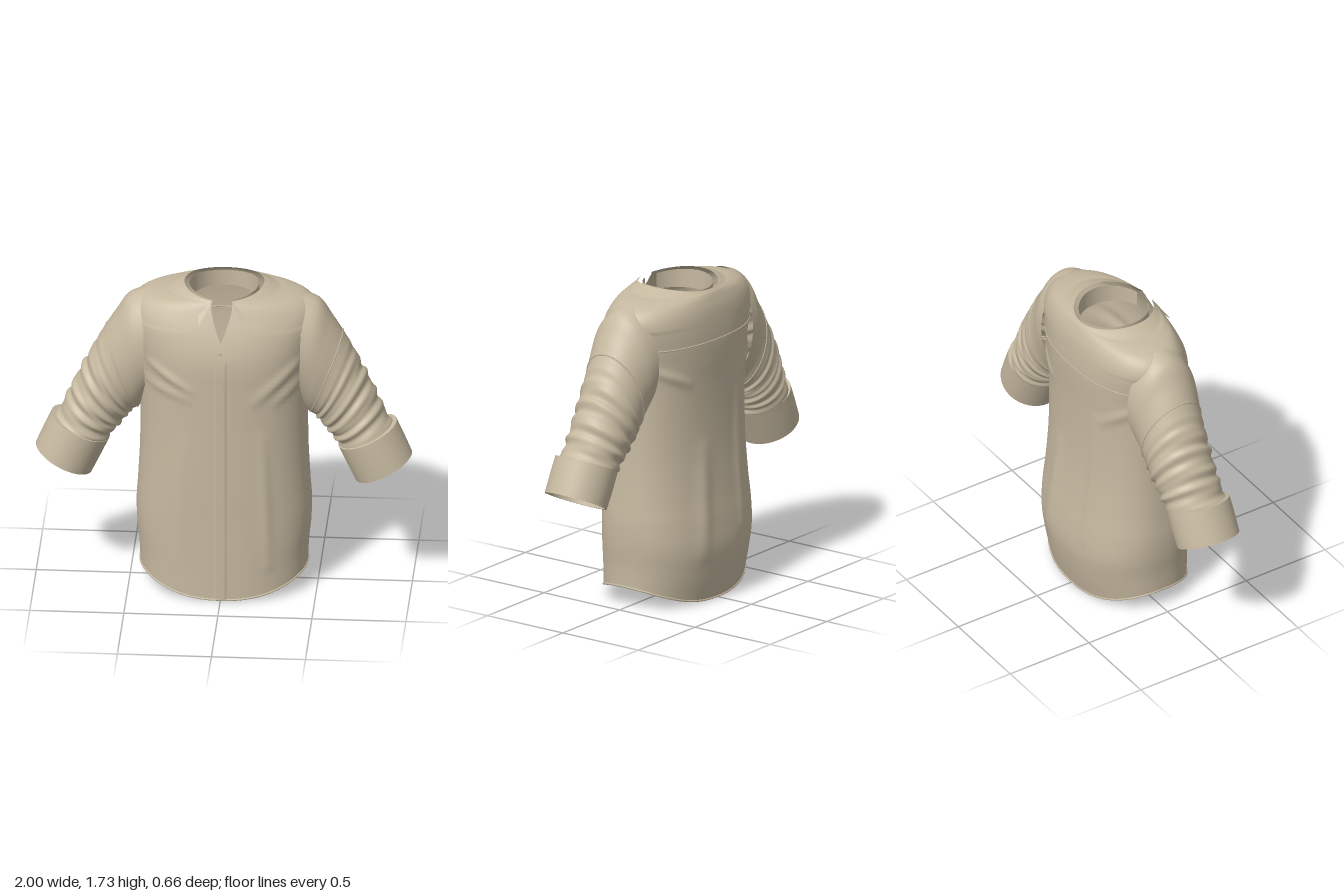
import * as THREE from 'three';
import { toCreasedNormals } from 'three/addons/utils/BufferGeometryUtils.js';

const cloth = new THREE.MeshStandardMaterial({ color: 0xc6b9a0, side: THREE.DoubleSide });
cloth.name = 'beige cloth';

// Torso sections: height, half width, front z, back z, squareness
const TORSO = [
  [0.01, 0.445, 0.315, -0.28, 2.3], [0.15, 0.45, 0.315, -0.312, 2.3], [0.3, 0.462, 0.315, -0.332, 2.3],
  [0.45, 0.465, 0.315, -0.322, 2.3], [0.6, 0.457, 0.317, -0.303, 2.3], [0.8, 0.447, 0.318, -0.285, 2.3],
  [1.0, 0.445, 0.318, -0.278, 2.3], [1.2, 0.45, 0.32, -0.28, 2.3], [1.35, 0.46, 0.32, -0.288, 2.3],
  [1.45, 0.48, 0.306, -0.29, 2.3], [1.55, 0.5, 0.275, -0.283, 2.3], [1.62, 0.49, 0.245, -0.272, 2.2],
  [1.67, 0.44, 0.222, -0.255, 2.1], [1.695, 0.35, 0.21, -0.243, 2], [1.703, 0.28, 0.205, -0.235, 2],
  [1.712, 0.212, 0.2, -0.226, 2],
];
const TOP = TORSO.length - 1;

// Sleeve sections: outer x, y, inner x, y, centre z, half depth
const SLEEVE = [
  [0.42, 1.685, 0.41, 1.08, 0, 0.2], [0.51, 1.645, 0.42, 1.05, 0, 0.195], [0.575, 1.55, 0.44, 1.02, 0, 0.185],
  [0.63, 1.46, 0.455, 1.0, -0.005, 0.178], [0.685, 1.36, 0.48, 0.985, -0.008, 0.175],
  [0.74, 1.25, 0.51, 0.95, -0.008, 0.172], [0.795, 1.14, 0.55, 0.9, -0.003, 0.166],
  [0.845, 1.03, 0.585, 0.86, 0.005, 0.163], [0.895, 0.93, 0.625, 0.8, 0.015, 0.16],
];
const CUFF = [
  [0.885, 0.945, 0.625, 0.825, 0.018, 0.15], [0.918, 0.957, 0.608, 0.815, 0.02, 0.172],
  [0.96, 0.865, 0.652, 0.722, 0.023, 0.174], [1.0, 0.772, 0.7, 0.623, 0.027, 0.172],
  [0.988, 0.768, 0.712, 0.629, 0.027, 0.16], [0.885, 0.945, 0.63, 0.825, 0.02, 0.15],
];

// Soft creases on the torso: x1, y1, x2, y2, front or back, height, width
const FOLDS = [
  [0.42, 1.38, 0.18, 1.17, 1, 0.014, 0.025], [0.42, 1.26, 0.28, 1.15, 1, 0.01, 0.02],
  [-0.38, 1.35, -0.16, 1.23, 1, 0.013, 0.022], [-0.4, 1.24, -0.17, 1.18, 1, 0.01, 0.02],
  [0.22, 0.95, 0.25, 0.2, 1, 0.01, 0.03], [-0.2, 0.9, -0.22, 0.2, 1, 0.005, 0.04],
  [0.42, 1.34, 0.22, 1.24, -1, 0.012, 0.022], [-0.42, 1.34, -0.24, 1.2, -1, 0.012, 0.022],
  [0.12, 0.85, 0.17, 0.3, -1, 0.014, 0.05], [-0.2, 1.2, -0.17, 0.4, -1, 0.012, 0.035],
];

// Smooth blend through a table of sections
function sample(rows, t) {
  const n = rows.length - 1, i = Math.min(Math.floor(t), n - 1), f = t - i;
  const [a, b, c, d] = [i - 1, i, i + 1, i + 2].map(k => rows[THREE.MathUtils.clamp(k, 0, n)]);
  return b.map((v, k) => v + 0.5 * f * (c[k] - a[k] + f * (2 * a[k] - 5 * v + 4 * c[k] - d[k]
    + f * (3 * (v - c[k]) + d[k] - a[k]))));
}

// Surface from a rule point(u, v), with u optionally wrapping round
function surface(point, nu, nv, closed) {
  const pos = [], idx = [], cols = closed ? nu : nu + 1;
  for (let j = 0; j <= nv; j++)
    for (let i = 0; i < cols; i++) pos.push(...point(i / nu, j / nv));
  for (let j = 0; j < nv; j++)
    for (let i = 0; i < nu; i++) {
      const a = j * cols + i, b = j * cols + (i + 1) % cols;
      idx.push(a, b, a + cols, b, b + cols, a + cols);
    }
  const g = new THREE.BufferGeometry();
  g.setAttribute('position', new THREE.Float32BufferAttribute(pos, 3));
  g.setIndex(idx);
  g.computeVertexNormals();
  return g;
}

function creases(x, y, facing) {
  let sum = 0;
  for (const [x1, y1, x2, y2, side, h, w] of FOLDS) {
    if (side * facing <= 0) continue;
    const dx = x2 - x1, dy = y2 - y1;
    const k = THREE.MathUtils.clamp(((x - x1) * dx + (y - y1) * dy) / (dx * dx + dy * dy), 0, 1);
    const d = Math.hypot(x - x1 - k * dx, y - y1 - k * dy);
    sum += h * Math.exp(-d * d / (w * w)) * Math.sin(Math.PI * (0.15 + 0.7 * k));
  }
  return sum;
}

// Torso point: angle is measured from the front towards +x, t runs up the sections
function torsoPoint(angle, t, lift = 0) {
  const s = Math.sin(angle), c = Math.cos(angle);
  const fromFront = Math.abs(Math.atan2(s, c));
  const end = 9.5 + (TOP - 9.5) * Math.min(1, fromFront / 0.25); // V opening at the neck
  if (t > 8) t = 8 + (t - 8) * (end - 8) / (TOP - 8);
  let [y, a, zf, zb, n] = sample(TORSO, t);
  const x = a * Math.sign(s) * Math.abs(s) ** (2 / n);
  const mid = t > 10 ? -0.012 : 0;
  const z = mid + ((c > 0 ? zf : -zb) + (c > 0 ? -mid : mid)) * Math.sign(c) * Math.abs(c) ** (2 / n);
  y += 0.11 * s * s * Math.max(0, 1 - y / 0.6);              // curved shirt tails
  y += 0.022 * s * s * THREE.MathUtils.smoothstep(t, 13.5, TOP); // neck rises at the sides
  const out = lift + creases(x, y, c);
  return [x + s * out, y, z + c * out];
}

// Sleeve or cuff point round a section
function armPoint(row, phi, side, swell = 0) {
  const [ux, uy, lx, ly, zc, zh] = row, k = Math.cos(phi) * (1 + swell);
  return [side * ((ux + lx) / 2 + k * (ux - lx) / 2), (uy + ly) / 2 + k * (uy - ly) / 2,
    zc + side * Math.sin(phi) * zh * (1 + swell)];
}

// Gathered folds, strongest just above the cuff
function gather(t, phi) {
  const strength = THREE.MathUtils.smoothstep(t, 3.2, 5) * 0.035;
  return strength * (Math.sin(t * 7.5 + 0.9 * Math.sin(phi * 2)) + 0.5 * Math.sin(t * 12 + Math.cos(phi) * 2));
}

export function createModel() {
  const shirt = new THREE.Group();
  shirt.name = 'shirt';
  const add = (name, geometry, parent = shirt) => {
    const m = new THREE.Mesh(geometry, cloth);
    m.name = name;
    parent.add(m);
    return m;
  };
  const seam = (name, points, r, closed, parent) => add(name, new THREE.TubeGeometry(
    new THREE.CatmullRomCurve3(points.map(p => new THREE.Vector3(...p)), closed), 120, r, 6, closed), parent);
  const steps = (n, f) => Array.from({ length: n }, (_, i) => f(i / n));

  // Torso, hem, button strip and back yoke
  add('torso', surface((u, v) => torsoPoint(u * Math.PI * 2, v * TOP), 180, 120, true));
  seam('hem', steps(48, k => torsoPoint(k * Math.PI * 2, 0.03)), 0.006, true);
  add('buttonStrip', surface((u, v) => torsoPoint((u - 0.5) * 0.1, v * 9.3,
    u === 0 || u === 1 ? 0 : 0.005), 8, 60, false));
  seam('yokeSeam', steps(40, k => torsoPoint(Math.PI * (0.62 + 0.78 * k), 9)), 0.004, false);

  // Buttons down the front
  for (let i = 0; i < 7; i++) {
    const y = 0.14 + i * 0.22;
    let t = 0;
    while (t < 9.3 && torsoPoint(0, t)[1] < y) t += 0.02;
    const b = add('button', new THREE.CylinderGeometry(0.01, 0.011, 0.008, 14));
    b.rotation.x = Math.PI / 2;
    b.position.set(0, y, torsoPoint(0, t)[2] + 0.006);
  }

  // Inner collar band, open at the front
  add('collarBand', surface((u, v) => {
    const a = 0.28 + u * (Math.PI * 2 - 0.56);
    return [0.185 * Math.sin(a), 1.62 + v * (0.088 + 0.018 * Math.sin(a) ** 2), -0.012 + 0.188 * Math.cos(a)];
  }, 72, 3, false));

  for (const side of [1, -1]) {
    // Collar tips
    const tip = new THREE.BufferGeometry();
    const corners = [[0.05, 1.712, 0.198], [0.118, 1.598, 0.272], [0.14, 1.715, 0.158]];
    if (side < 0) corners.reverse();
    tip.setAttribute('position', new THREE.Float32BufferAttribute(
      corners.flatMap(([x, y, z]) => [side * x, y, z]), 3));
    tip.computeVertexNormals();
    add('collarTip', tip);

    // Sleeve with shoulder seam and turned-up cuff
    const arm = new THREE.Group();
    arm.name = side > 0 ? 'leftSleeve' : 'rightSleeve';
    shirt.add(arm);
    const last = SLEEVE.length - 1;
    add('sleeve', surface((u, v) => {
      const phi = u * Math.PI * 2, t = v * last;
      return armPoint(sample(SLEEVE, t), phi, side, gather(t, phi));
    }, 64, 96, true), arm);
    seam('shoulderSeam', steps(32, k => armPoint(sample(SLEEVE, 3), k * Math.PI * 2, side)), 0.004, true, arm);
    const cuff = surface((u, v) => armPoint(CUFF[Math.round(v * (CUFF.length - 1))], u * Math.PI * 2, side),
      64, CUFF.length - 1, true);
    add('cuff', toCreasedNormals(cuff, 0.6), arm);
  }
  return shirt;
}
